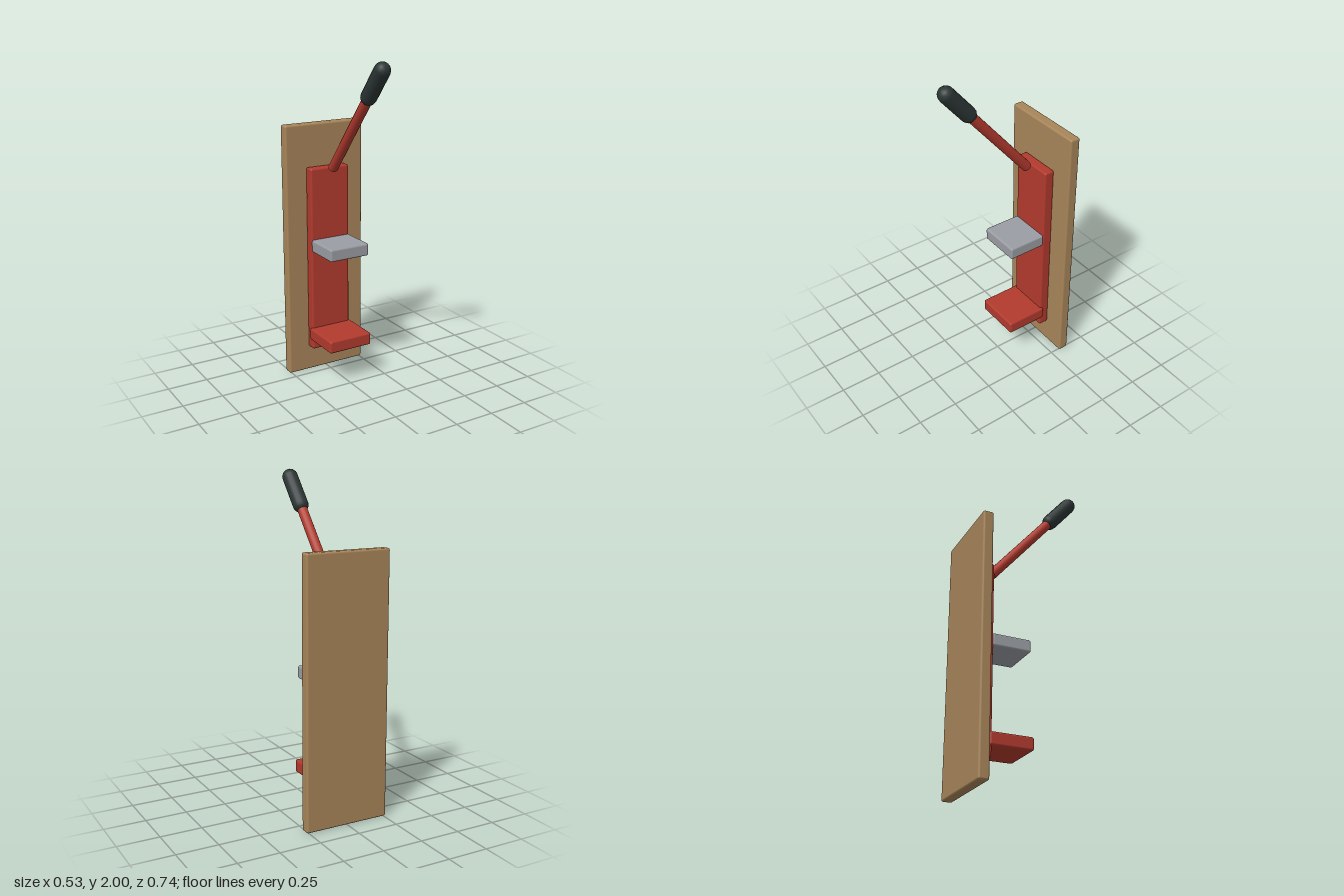
import * as THREE from 'three';
import { RoundedBoxGeometry } from 'three/addons/geometries/RoundedBoxGeometry.js';

function material(name, color) {
  const m = new THREE.MeshStandardMaterial({ color });
  m.name = name;
  return m;
}

export function createModel() {
  const group = new THREE.Group();
  group.name = 'wallPress';
  const wood = material('wood', 0xa88559);
  const red = material('red paint', 0xb23a2e);
  const steel = material('grey steel', 0x9a9da3);
  const rubber = material('dark rubber', 0x2c3535);

  function add(name, geometry, mat, parent = group) {
    const mesh = new THREE.Mesh(geometry, mat);
    mesh.name = name;
    parent.add(mesh);
    return mesh;
  }

  // Rounded slab given by its half width, y range and z range
  function slab(name, halfWidth, y0, y1, z0, z1, mat) {
    const geometry = new RoundedBoxGeometry(halfWidth * 2, y1 - y0, z1 - z0, 2, 0.012);
    add(name, geometry, mat).position.set(0, (y0 + y1) / 2, (z0 + z1) / 2);
  }

  // Wall board, mounting plate and the two jaws
  slab('backBoard', 0.263, 0, 1.585, -0.37, -0.306, wood);
  slab('mountingPlate', 0.131, 0.162, 1.325, -0.306, -0.24, red);
  slab('pressPlate', 0.131, 0.808, 0.885, -0.245, -0.007, steel);
  slab('baseShelf', 0.144, 0.228, 0.306, -0.258, 0.004, red);

  // Lever leaning forward; its origin is the lower end of the rod
  const lever = new THREE.Group();
  lever.name = 'lever';
  lever.position.set(0, 1.324, -0.205);
  lever.rotation.x = THREE.MathUtils.degToRad(40);
  group.add(lever);
  add('leverRod', new THREE.CylinderGeometry(0.03, 0.03, 0.66, 16), red, lever).position.y = 0.33;
  add('leverGrip', new THREE.CapsuleGeometry(0.047, 0.205, 5, 16), rubber, lever).position.y = 0.719;

  return group;
}
